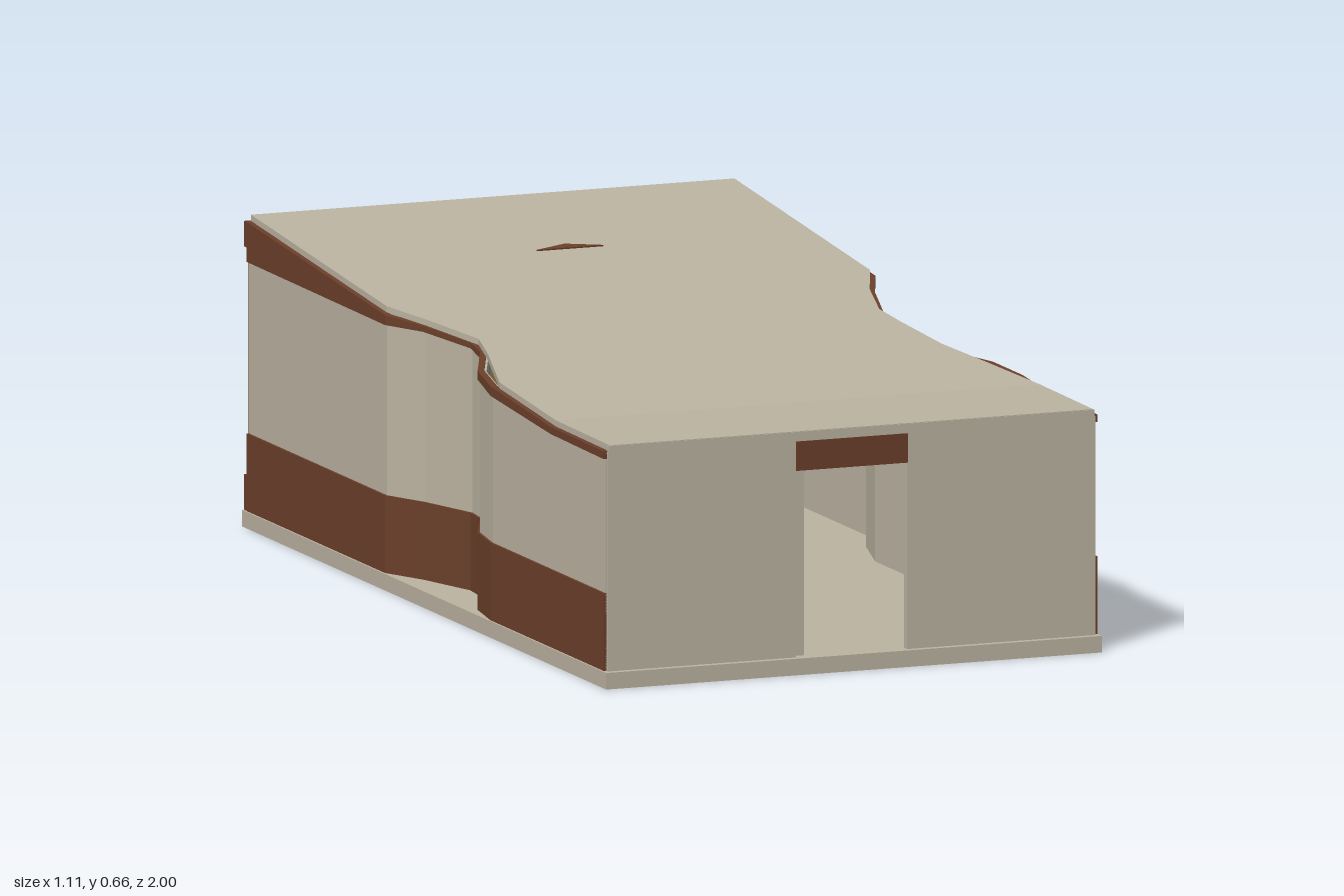
import * as THREE from 'three';

const mat = (name, color, side = THREE.FrontSide) => {
  const m = new THREE.MeshStandardMaterial({ color, side });
  m.name = name;
  return m;
};

// Linear interpolation in a table of [z, value] rows sorted by z
function at(table, z) {
  for (let i = 1; i < table.length; i++) {
    const [z0, v0] = table[i - 1], [z1, v1] = table[i];
    if (z <= z1) return v0 + (v1 - v0) * Math.max(0, (z - z0) / (z1 - z0));
  }
  return table[table.length - 1][1];
}

// Loft of rectangles [z, x0, x1, y0, y1], ordered by rising z
function loft(sections) {
  const pos = [];
  const rings = sections.map(([z, x0, x1, y0, y1]) =>
    [[x0, y0, z], [x1, y0, z], [x1, y1, z], [x0, y1, z]]);
  const quad = (a, b, c, d) => pos.push(...a, ...b, ...c, ...a, ...c, ...d);
  for (let k = 1; k < rings.length; k++) {
    const a = rings[k - 1], b = rings[k];
    for (let i = 0; i < 4; i++) {
      const j = (i + 1) % 4;
      quad(a[i], a[j], b[j], b[i]);
    }
  }
  const first = rings[0], last = rings[rings.length - 1];
  quad(first[0], first[3], first[2], first[1]);
  quad(last[0], last[1], last[2], last[3]);
  const g = new THREE.BufferGeometry();
  g.setAttribute('position', new THREE.Float32BufferAttribute(pos, 3));
  g.computeVertexNormals();
  return g;
}

// Half-widths of the two wavy side walls and of the roof above them
const WALL = {
  right: [[-0.98, 0.55], [-0.24, 0.55], [-0.12, 0.5], [0.04, 0.455], [0.2, 0.455],
    [0.35, 0.475], [0.455, 0.53], [0.57, 0.55], [0.98, 0.55]],
  left: [[-0.98, 0.55], [-0.22, 0.55], [-0.12, 0.505], [0.03, 0.46], [0.1, 0.467],
    [0.24, 0.53], [0.36, 0.55], [0.98, 0.55]],
};
const ROOF = {
  right: [[-0.985, 0.543], [-0.24, 0.543], [-0.1, 0.485], [0.05, 0.445], [0.15, 0.45],
    [0.34, 0.467], [0.5, 0.503], [0.69, 0.543], [0.985, 0.543]],
  left: [[-0.985, 0.543], [-0.24, 0.543], [-0.12, 0.503], [0.05, 0.455],
    [0.16, 0.48], [0.38, 0.543], [0.985, 0.543]],
};
const ROOF_TOP = [[-0.985, 0.661], [0.69, 0.515], [0.985, 0.513]];
const CREAM_TOP = [[-0.98, 0.563], [-0.12, 0.56], [0.04, 0.547], [0.2, 0.527],
  [0.35, 0.512], [0.455, 0.497], [0.57, 0.488], [0.98, 0.484]];
const underRoof = z => at(ROOF_TOP, z) - 0.014;

export function createModel() {
  const model = new THREE.Group();
  const cream = mat('cream plaster', 0xbdb5a3);
  const brown = mat('brown wood', 0x6c402b);
  const teal = mat('teal glass', 0x4f7479, THREE.DoubleSide);
  const tan = mat('tan frame', 0x8f7145);

  const add = (name, geometry, material, parent = model) => {
    const m = new THREE.Mesh(geometry, material);
    m.name = name;
    parent.add(m);
    return m;
  };
  // Box given by its extents on each axis
  const box = (name, material, [x0, x1], [y0, y1], [z0, z1], parent) => {
    const m = add(name, new THREE.BoxGeometry(x1 - x0, y1 - y0, z1 - z0), material, parent);
    m.position.set((x0 + x1) / 2, (y0 + y1) / 2, (z0 + z1) / 2);
    return m;
  };

  // Floor slab
  box('floorSlab', cream, [-0.557, 0.557], [0, 0.035], [-1, 1]);

  // Side walls: plaster core, brown base band and brown trim under the roof
  for (const side of ['left', 'right']) {
    const sign = side === 'right' ? 1 : -1;
    const zs = [...new Set([...WALL[side].map(p => p[0]), 0.69])].sort((a, b) => a - b);
    const strip = (name, material, out, inn, lo, hi) => add(side + name, loft(zs.map(z => {
      const w = at(WALL[side], z);
      const xs = [sign * (w + inn), sign * (w + out)].sort((a, b) => a - b);
      return [z, ...xs, lo(z), hi(z)];
    })), material);
    strip('PlasterWall', cream, 0, -0.015, () => 0.035, z => underRoof(z) - 0.002);
    strip('BaseBand', brown, 0.005, -0.002, () => 0.036, () => 0.2);
    strip('RoofTrim', brown, 0.005, -0.01, z => at(CREAM_TOP, z), z => underRoof(z) + 0.001);
  }

  // Roof: flat at the front, rising to the back, with waisted sides
  const roofZ = [...new Set([...ROOF.left, ...ROOF.right].map(p => p[0]))].sort((a, b) => a - b);
  add('roof', loft(roofZ.map(z =>
    [z, -at(ROOF.left, z), at(ROOF.right, z), underRoof(z), at(ROOF_TOP, z)])), cream);

  // Ridge tip showing through the roof
  const tip = new THREE.Shape([new THREE.Vector2(-0.075, 0), new THREE.Vector2(0.075, 0),
    new THREE.Vector2(0, 0.031)]);
  const ridge = add('roofTip', new THREE.ExtrudeGeometry(tip, { depth: 0.005, bevelEnabled: false }), brown);
  ridge.rotation.x = -Math.PI / 2 + Math.atan(0.146 / 1.675);
  ridge.position.set(0, at(ROOF_TOP, -0.56) - 0.002, -0.56);

  // Front wall with the doorway
  const front = new THREE.Group();
  front.name = 'frontWall';
  model.add(front);
  for (const s of [-1, 1]) {
    const xs = [s * 0.125, s * 0.547].sort((a, b) => a - b);
    box('frontPanel', cream, xs, [0.035, 0.499], [0.968, 0.985], front);
  }
  box('doorLintel', brown, [-0.125, 0.125], [0.43, 0.492], [0.968, 0.989], front);
  box('frontFascia', cream, [-0.545, 0.545], [0.491, 0.512], [0.972, 0.987], front);

  // Interior: entrance partition, cross wall with brown cap, cabinet
  box('entrancePartition', cream, [-0.125, -0.1], [0.035, 0.43], [0.5, 0.968]);
  box('crossWall', cream, [-0.1, 0.05], [0.035, 0.41], [0.3, 0.32]);
  box('crossWallCap', brown, [-0.1, 0.05], [0.41, 0.42], [0.298, 0.322]);
  box('cabinet', brown, [0.05, 0.3], [0.035, 0.19], [-0.6, -0.3]);

  // Back window with sill, header and posts
  const back = new THREE.Group();
  back.name = 'backWindow';
  model.add(back);
  box('glass', teal, [-0.545, 0.545], [0.1, 0.6], [-0.98, -0.974], back);
  box('sill', brown, [-0.552, 0.552], [0.035, 0.11], [-1, -0.97], back);
  box('header', brown, [-0.552, 0.552], [0.592, 0.646], [-1, -0.968], back);
  for (const x of [-0.538, 0, 0.538])
    box('post', tan, [x - 0.009, x + 0.009], [0.11, 0.592], [-0.992, -0.97], back);

  return model;
}
